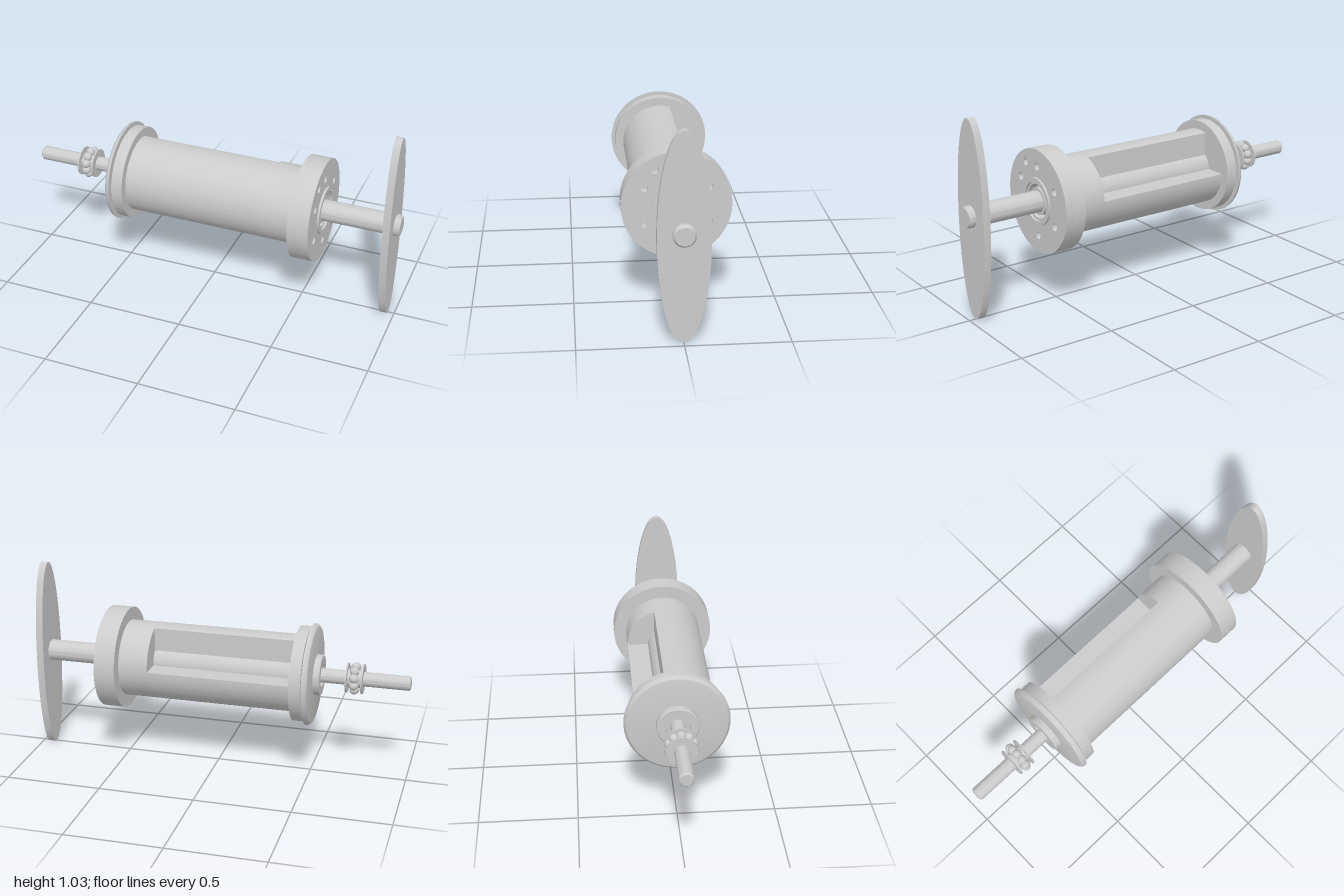
import * as THREE from 'three';
import { toCreasedNormals } from 'three/addons/utils/BufferGeometryUtils.js';

const AXIS_Y = 0.54;

export function createModel() {
  const model = new THREE.Group();
  const material = new THREE.MeshStandardMaterial({ color: 0xcccccc });
  const assembly = new THREE.Group();
  assembly.name = 'rotaryAssembly';
  assembly.position.y = AXIS_Y;
  model.add(assembly);

  function add(name, geometry, parent = assembly) {
    const mesh = new THREE.Mesh(geometry, material);
    mesh.name = name;
    parent.add(mesh);
    return mesh;
  }

  // Solid turned about the x axis from [x, radius] pairs running toward +x
  function turned(name, profile, segments = 64) {
    const points = profile.map(([x, r]) => new THREE.Vector2(r, x));
    const geometry = new THREE.LatheGeometry(points, segments).rotateZ(-Math.PI / 2);
    return add(name, toCreasedNormals(geometry, 0.5));
  }

  // Section (u toward the back, v up) pushed along x
  function extruded(name, shape, x0, x1, curveSegments = 48) {
    const geometry = new THREE.ExtrudeGeometry(shape, { depth: x1 - x0, bevelEnabled: false, curveSegments });
    geometry.rotateY(Math.PI / 2).translate(x0, 0, 0);
    return add(name, toCreasedNormals(geometry, 0.5));
  }

  const circlePath = (u, v, r) => new THREE.Path().absarc(u, v, r, 0, Math.PI * 2, true);

  // Shafts with chamfered ends
  turned('thinShaft', [[-1, 0], [-1, 0.03], [-0.992, 0.037], [-0.5, 0.037], [-0.5, 0]], 40);
  turned('driveShaft', [[0.48, 0], [0.48, 0.055], [0.985, 0.055], [0.998, 0.045], [0.998, 0]], 48);

  // Barrel with a quarter window at the back, leaving the core exposed
  const R = 0.2, core = 0.09, cut = 0.055;
  const section = new THREE.Shape();
  section.moveTo(cut, Math.sqrt(R * R - cut * cut));
  section.absarc(0, 0, R, Math.acos(cut / R), Math.PI * 2, false);
  section.lineTo(core, 0);
  section.absarc(0, 0, core, 0, Math.acos(cut / core), false);
  section.closePath();
  extruded('cutawayBarrel', section, -0.42, 0.33);
  turned('barrelEnd', [[0.33, 0], [0.33, R], [0.485, R], [0.485, 0]], 96);

  // Rounded end cap, groove and inner flange
  turned('endCap', [
    [-0.515, 0], [-0.515, 0.235], [-0.512, 0.248], [-0.503, 0.258], [-0.492, 0.262],
    [-0.487, 0.262], [-0.487, 0.225], [-0.479, 0.225], [-0.479, 0.245],
    [-0.42, 0.245], [-0.42, 0],
  ], 72);
  turned('endBoss', [
    [-0.53, 0.037], [-0.53, 0.06], [-0.548, 0.06], [-0.548, 0.1], [-0.543, 0.105], [-0.51, 0.105],
  ]);

  // Front flange: solid back, drilled face with blind bolt holes
  turned('flangeBack', [[0.485, 0], [0.485, 0.267], [0.55, 0.267], [0.55, 0]], 72);
  const face = new THREE.Shape().absarc(0, 0, 0.267, 0, Math.PI * 2, false);
  face.holes.push(circlePath(0, 0, 0.1));
  for (let i = 0; i < 6; i++) {
    const a = Math.PI / 6 + i * Math.PI / 3;
    face.holes.push(circlePath(0.18 * Math.cos(a), 0.18 * Math.sin(a), 0.02));
  }
  face.holes.push(circlePath(-0.105, 0.18, 0.02));
  extruded('flangeFace', face, 0.55, 0.595, 36);

  // Small screws in the flange rim, front and back
  for (const side of [1, -1]) {
    const screw = new THREE.CylinderGeometry(0.017, 0.017, 0.02, 24).rotateX(Math.PI / 2);
    add('rimScrew', screw).position.set(0.54, 0, side * 0.259);
  }

  // Nested seal and bearing rings around the drive shaft
  const ring = (name, inner, outer, x0, x1) =>
    turned(name, [[x0, inner], [x0, outer], [x1, outer], [x1, inner], [x0, inner]]);
  ring('sealRing', 0.1, 0.123, 0.58, 0.606);
  ring('outerRace', 0.088, 0.1, 0.55, 0.594);
  ring('innerRace', 0.055, 0.07, 0.55, 0.594);

  // Thrust bearing: two washers with a ring of balls
  for (const x of [-0.757, -0.677]) ring('bearingWasher', 0.037, 0.076, x - 0.004, x + 0.004);
  ring('bearingHub', 0.037, 0.046, -0.755, -0.679);
  const balls = new THREE.Group();
  balls.name = 'bearingBalls';
  assembly.add(balls);
  for (let i = 0; i < 10; i++) {
    const a = i * Math.PI / 5;
    add('ball', new THREE.SphereGeometry(0.023, 20, 14), balls)
      .position.set(-0.717, 0.061 * Math.cos(a), 0.061 * Math.sin(a));
  }

  // Flat elliptical blade near the shaft end
  const blade = new THREE.Shape().absellipse(0, 0.515 - AXIS_Y, 0.125, 0.513, 0, Math.PI * 2, false, 0);
  extruded('blade', blade, 0.93, 0.967, 20);

  return model;
}
